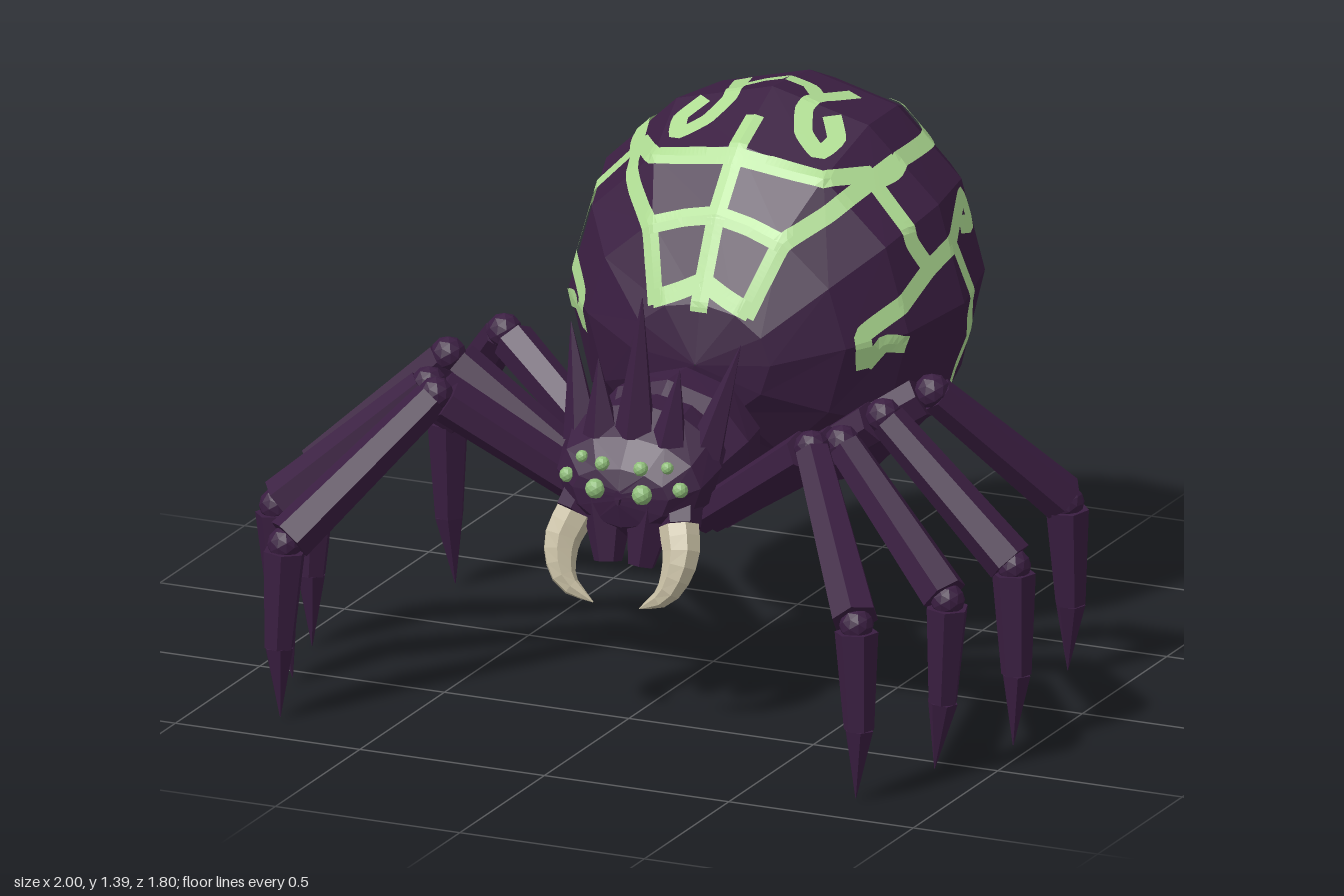
import * as THREE from 'three';
import { mergeGeometries } from 'three/addons/utils/BufferGeometryUtils.js';

const V = (x, y, z) => new THREE.Vector3(x, y, z);

// Faceted normals
function facet(geo) {
  const g = geo.index ? geo.toNonIndexed() : geo;
  g.deleteAttribute('uv');
  g.computeVertexNormals();
  return g;
}

// Elliptical rings from front to back: [z, top, bottom, half width]; waist is the height of the widest point
function loft(stations, sides, waist = 0.5) {
  const pos = [], idx = [];
  stations.forEach(([z, top, bottom, w], i) => {
    const mid = bottom + (top - bottom) * waist;
    for (let j = 0; j < sides; j++) {
      const a = j / sides * Math.PI * 2, c = Math.cos(a);
      pos.push(w * Math.sin(a), mid + c * (c > 0 ? top - mid : mid - bottom), z);
      if (i === stations.length - 1) continue;
      const A = i * sides + j, B = i * sides + (j + 1) % sides;
      idx.push(A, B, A + sides, B, B + sides, A + sides);
    }
  });
  const g = new THREE.BufferGeometry();
  g.setAttribute('position', new THREE.Float32BufferAttribute(pos, 3));
  g.setIndex(idx);
  return facet(g);
}

// Straight faceted limb between two points
function limb(a, b, ra, rb, sides = 6) {
  const d = b.clone().sub(a);
  const g = new THREE.CylinderGeometry(rb, ra, d.length(), sides);
  g.applyQuaternion(new THREE.Quaternion().setFromUnitVectors(V(0, 1, 0), d.normalize()));
  g.translate(...a.clone().add(b).multiplyScalar(0.5).toArray());
  return facet(g);
}

// Curved tube whose radius follows a rule
function taper(points, radius, seg, sides) {
  const curve = new THREE.CatmullRomCurve3(points);
  const g = new THREE.TubeGeometry(curve, seg, 1, sides);
  const p = g.attributes.position, v = V();
  for (let i = 0; i < p.count; i++) {
    const t = Math.floor(i / (sides + 1)) / seg, c = curve.getPointAt(t);
    v.fromBufferAttribute(p, i).sub(c).multiplyScalar(radius(t)).add(c);
    p.setXYZ(i, v.x, v.y, v.z);
  }
  return facet(g);
}

function ball(c, r) {
  const g = new THREE.IcosahedronGeometry(r, 1);
  g.translate(c.x, c.y, c.z);
  return facet(g);
}

// First surface point along a ray, lifted slightly
function cast(mesh, origin, dir, lift) {
  const hit = new THREE.Raycaster(origin, dir).intersectObject(mesh)[0];
  return hit && hit.point.addScaledVector(hit.face.normal, lift);
}
const rays = {
  front: p => [V(p.x, p.y, 3), V(0, 0, -1)],
  top: p => [V(p.x, 3, p.y), V(0, -1, 0)],
  side: p => [V(3, p.y, p.x), V(-1, 0, 0)],
};

// Thin painted ribbon of even width that follows a rounded surface
function ribbon(mesh, centre, view, pts, width = 0.046) {
  const curve = new THREE.CatmullRomCurve3(pts.map(([u, v]) => V(u, v, 0)), false, 'catmullrom', 0.2);
  const n = Math.ceil(curve.getLength() / 0.012);
  const path = curve.getSpacedPoints(n).map(p => cast(mesh, ...rays[view](p), 0)).filter(Boolean);
  const rows = path.map((p, i) => {
    const along = path[Math.min(i + 1, path.length - 1)].clone().sub(path[Math.max(i - 1, 0)]);
    const out = p.clone().sub(centre).normalize();
    const across = along.cross(out).normalize();
    return [-1, 0, 1].map(s => {
      const q = p.clone().addScaledVector(across, s * width / 2).addScaledVector(out, 0.2);
      return cast(mesh, q, out.clone().negate(), 0.006);
    });
  });
  const pos = [];
  for (let i = 1; i < rows.length; i++) for (let k = 0; k < 2; k++) {
    const a = rows[i - 1], b = rows[i];
    for (const q of [a[k], a[k + 1], b[k], b[k], a[k + 1], b[k + 1]]) pos.push(q.x, q.y, q.z);
  }
  const g = new THREE.BufferGeometry();
  g.setAttribute('position', new THREE.Float32BufferAttribute(pos, 3));
  g.computeVertexNormals();
  return g;
}

// Mirror across x, reversing triangle order
function mirrored(geo) {
  const g = geo.clone(), p = g.attributes.position;
  for (let i = 0; i < p.count; i += 3) {
    [0, 2, 1].map(k => V().fromBufferAttribute(geo.attributes.position, i + k))
      .forEach((q, k) => p.setXYZ(i + k, -q.x, q.y, q.z));
  }
  g.computeVertexNormals();
  return g;
}

export function createModel() {
  const model = new THREE.Group();
  const material = (name, color, side = THREE.FrontSide) =>
    Object.assign(new THREE.MeshStandardMaterial({ color, side }), { name });
  const purple = material('darkPurple', 0x3a1e41);
  const green = material('paleGreen', 0xaedb92, THREE.DoubleSide);
  const eyeGreen = material('eyeGreen', 0x8fbd7a);
  const bone = material('bone', 0xc8bfa4);

  const add = (name, geo, mat) => {
    const m = new THREE.Mesh(geo, mat);
    m.name = name;
    model.add(m);
    return m;
  };
  const pair = (name, geo, mat) => {
    add(name + 'Left', geo, mat);
    add(name + 'Right', mirrored(geo), mat);
  };

  // Body
  const abdomen = add('abdomen', loft([
    [0.11, 0.802, 0.798, 0.002], [0.08, 0.95, 0.66, 0.19], [-0.02, 1.15, 0.51, 0.35],
    [-0.15, 1.295, 0.386, 0.46], [-0.35, 1.387, 0.34, 0.52], [-0.57, 1.365, 0.4, 0.475],
    [-0.72, 1.3, 0.54, 0.36], [-0.83, 1.17, 0.73, 0.19], [-0.9, 1.002, 0.998, 0.002],
  ], 12, 0.53), purple);
  add('thorax', loft([
    [0.48, 0.56, 0.5, 0.002], [0.42, 0.7, 0.44, 0.17], [0.27, 0.81, 0.43, 0.23],
    [0.16, 0.81, 0.43, 0.21], [0.06, 0.74, 0.47, 0.16], [-0.04, 0.65, 0.55, 0.002],
  ], 10), purple);
  const head = add('head', loft([
    [0.565, 0.61, 0.57, 0.01], [0.55, 0.66, 0.51, 0.13], [0.5, 0.73, 0.47, 0.195],
    [0.42, 0.79, 0.47, 0.215], [0.33, 0.79, 0.5, 0.185], [0.28, 0.66, 0.6, 0.002],
  ], 12, 0.58), purple);

  // Crown spikes
  add('crownSpikeCentre', limb(V(0, 0.72, 0.46), V(0, 1.065, 0.42), 0.055, 0.001, 5), purple);
  pair('crownSpikeInner', limb(V(0.09, 0.71, 0.46), V(0.11, 0.9, 0.44), 0.05, 0.001, 5), purple);
  pair('crownSpikeOuter', limb(V(0.165, 0.68, 0.41), V(0.23, 0.95, 0.34), 0.05, 0.001, 5), purple);

  // Eyes
  [[0.052, 0.665, 0.019], [0.063, 0.605, 0.026], [0.115, 0.67, 0.016], [0.152, 0.62, 0.02]].forEach(([x, y, r], i) =>
    pair('eye' + (i + 1), ball(cast(head, ...rays.front(V(x, y, 0)), 0.002), r), eyeGreen));

  // Jaws and fangs
  pair('jaw', limb(V(0.06, 0.56, 0.49), V(0.045, 0.41, 0.525), 0.07, 0.035), purple);
  pair('fangSocket', limb(V(0.12, 0.58, 0.46), V(0.145, 0.515, 0.51), 0.06, 0.05), purple);
  pair('fang', taper([V(0.142, 0.52, 0.51), V(0.163, 0.45, 0.545), V(0.138, 0.365, 0.575), V(0.062, 0.315, 0.575)],
    t => 0.05 * (1 - t ** 2) + 0.001, 8, 7), bone);

  // Legs: hip, knee, ankle, toe
  const legs = [
    [V(0.13, 0.5, 0.36), V(0.51, 0.78, 0.53), V(0.775, 0.45, 0.845), V(0.78, 0.005, 0.86)],
    [V(0.14, 0.49, 0.31), V(0.56, 0.78, 0.46), V(0.91, 0.46, 0.6), V(0.87, 0.015, 0.59)],
    [V(0.14, 0.48, 0.25), V(0.59, 0.8, 0.28), V(0.945, 0.46, 0.285), V(0.95, 0, 0.3)],
    [V(0.13, 0.48, 0.16), V(0.58, 0.77, -0.03), V(0.84, 0.45, -0.26), V(0.83, 0.005, -0.285)],
  ];
  legs.forEach(([hip, knee, ankle, toe], i) => {
    const along = (a, b, t) => a.clone().lerp(b, t);
    const shin = along(ankle, toe, 0.6);
    shin.x += 0.008;
    pair('leg' + (i + 1), mergeGeometries([
      limb(hip, along(hip, knee, 0.94), 0.045, 0.055),
      ball(knee, 0.045),
      limb(along(knee, ankle, 0.03), along(knee, ankle, 0.97), 0.047, 0.061),
      ball(ankle, 0.043),
      limb(along(ankle, toe, 0.04), shin, 0.055, 0.038),
      limb(shin, toe, 0.038, 0.001),
    ]), purple);
  });

  // Web markings
  const centre = V(0, 0.87, -0.39);
  add('webSpine', ribbon(abdomen, centre, 'front', [[0, 1.34], [0, 0.93]]), green);
  const marks = {
    front: [
      [[0, 1.27], [0.16, 1.245], [0.31, 1.225]],
      [[0, 1.15], [0.09, 1.13], [0.18, 1.1]],
      [[0, 1.0], [0.06, 0.97], [0.13, 0.94]],
      [[0.34, 1.24], [0.26, 1.16], [0.18, 1.1], [0.15, 1.02], [0.12, 0.93]],
    ],
    top: [
      [[0, -0.44], [0.06, -0.44], [0.11, -0.39], [0.15, -0.51]],
      [[0.11, -0.39], [0.1, -0.32], [0.13, -0.25], [0.19, -0.21], [0.21, -0.27], [0.17, -0.33]],
      [[0.31, -0.23], [0.345, -0.32], [0.32, -0.56], [0.24, -0.7], [0.16, -0.69]],
    ],
    side: [
      [[-0.25, 1.235], [-0.23, 1.08], [-0.27, 0.99]],
      [[-0.07, 0.79], [-0.06, 0.88], [-0.26, 1.0], [-0.38, 1.05], [-0.52, 1.11], [-0.53, 1.04], [-0.45, 1.06]],
      [[-0.07, 0.8], [-0.1, 0.85], [-0.15, 0.84]],
      [[-0.37, 1.04], [-0.43, 0.86], [-0.52, 0.76], [-0.43, 0.7], [-0.38, 0.61], [-0.31, 0.69], [-0.235, 0.68], [-0.19, 0.61]],
    ],
  };
  for (const view in marks) marks[view].forEach((pts, i) =>
    pair(view + 'WebStrand' + (i + 1), ribbon(abdomen, centre, view, pts), green));

  return model;
}
